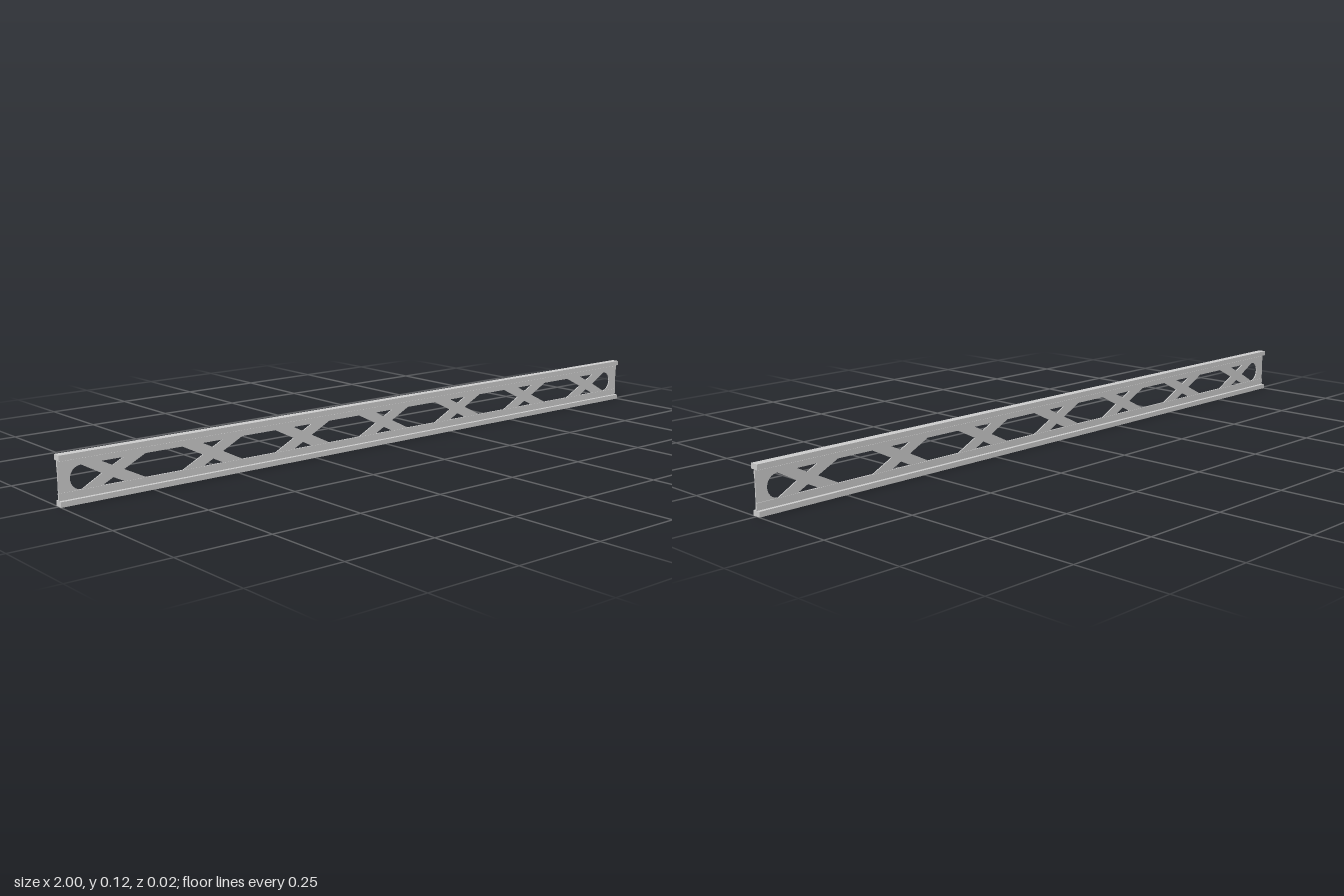
import * as THREE from 'three';

const H = 0.125, MID = H / 2, FLANGE_H = 0.0135, FLANGE_W = 0.0232;
const WEB_T = 0.003, HALF = 0.03, PITCH = 0.285;

const material = new THREE.MeshStandardMaterial({ color: 0xcccccc });

function polygon(points) {
  return new THREE.Path(points.map(([x, y]) => new THREE.Vector2(x, y + MID)));
}

function createWeb() {
  const shape = new THREE.Shape();
  shape.moveTo(-1, FLANGE_H);
  shape.lineTo(1, FLANGE_H);
  shape.lineTo(1, H - FLANGE_H);
  shape.lineTo(-1, H - FLANGE_H);
  shape.closePath();

  // small triangles above and below each crossing
  for (let i = -3; i <= 3; i++) {
    const c = i * PITCH;
    for (const s of [-1, 1]) {
      shape.holes.push(polygon([[c, s * 0.015], [c + 0.03, s * HALF], [c - 0.03, s * HALF]]));
    }
  }

  // long six-sided openings between crossings
  for (let i = -3; i < 3; i++) {
    const a = i * PITCH, b = a + PITCH;
    shape.holes.push(polygon([
      [a + 0.03, 0], [a + 0.09, -HALF], [b - 0.09, -HALF],
      [b - 0.03, 0], [b - 0.09, HALF], [a + 0.09, HALF],
    ]));
  }

  // end openings: pointed inward, round outward
  for (const s of [-1, 1]) {
    const points = [[s * (3 * PITCH + 0.03), 0]];
    for (let k = 0; k <= 16; k++) {
      const t = -Math.PI / 2 + (Math.PI * k) / 16;
      points.push([s * (0.939 + HALF * Math.cos(t)), HALF * Math.sin(t)]);
    }
    shape.holes.push(polygon(points));
  }

  const geometry = new THREE.ExtrudeGeometry(shape, { depth: WEB_T, bevelEnabled: false });
  geometry.translate(0, 0, -WEB_T / 2);
  const web = new THREE.Mesh(geometry, material);
  web.name = 'latticeWeb';
  return web;
}

function bar(name, height, depth, y) {
  const mesh = new THREE.Mesh(new THREE.BoxGeometry(2, height, depth), material);
  mesh.name = name;
  mesh.position.y = y;
  return mesh;
}

export function createModel() {
  const group = new THREE.Group();
  group.name = 'latticeGirder';
  group.add(createWeb());
  // flange and thicker stiffening strip along both edges
  for (const [side, s] of [['bottom', -1], ['top', 1]]) {
    group.add(bar(side + 'Flange', FLANGE_H, FLANGE_W, MID + s * (MID - FLANGE_H / 2)));
    group.add(bar(side + 'Strip', 0.015, 0.0052, MID + s * 0.038));
  }
  return group;
}
